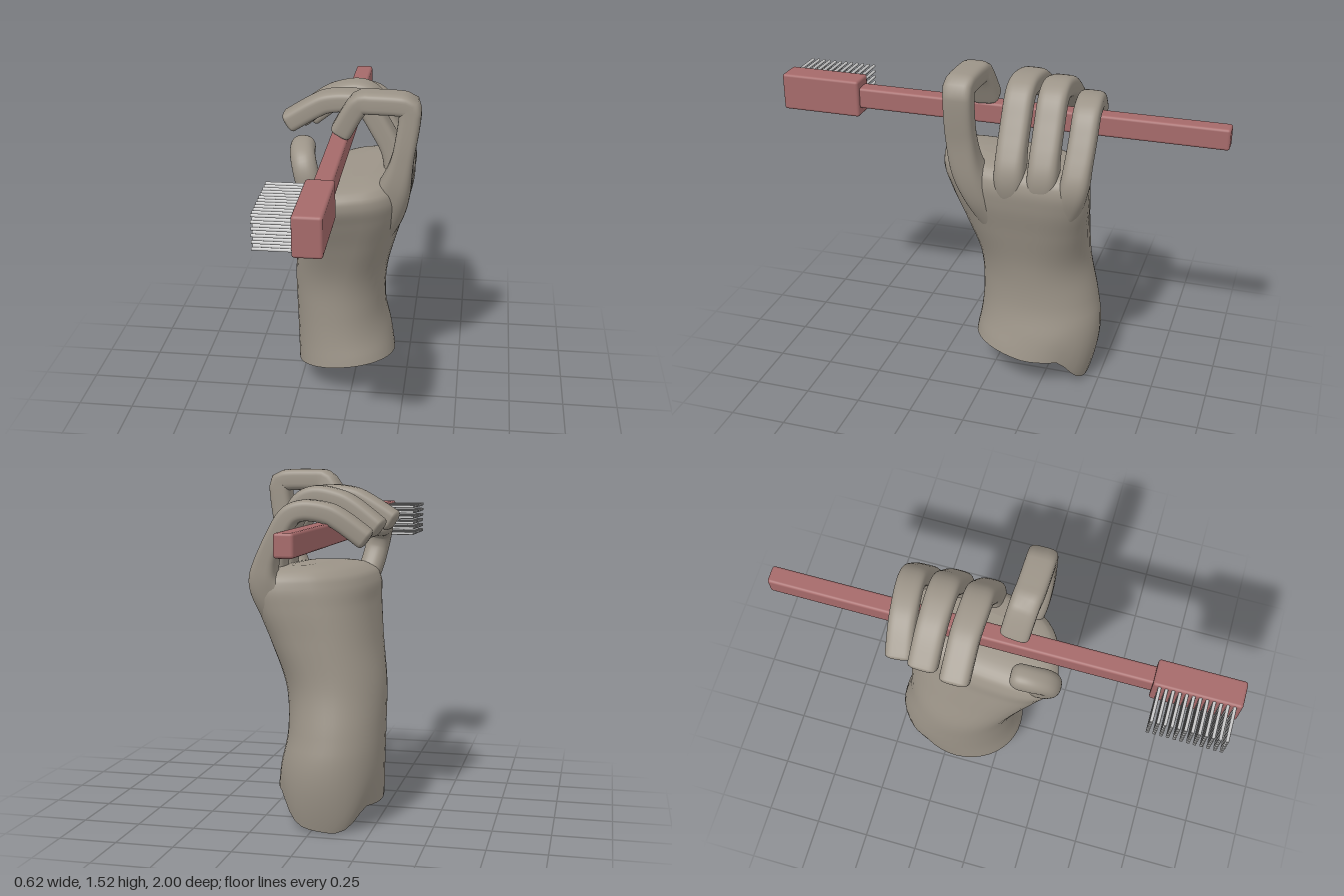
import * as THREE from 'three';
import { RoundedBoxGeometry } from 'three/addons/geometries/RoundedBoxGeometry.js';

const skin = new THREE.MeshStandardMaterial({ color: 0x9c9488 });
const plastic = new THREE.MeshStandardMaterial({ color: 0xa56a6a });
const grey = new THREE.MeshStandardMaterial({ color: 0xcccccc });
const SIDES = 40;

// Unit superellipse: n = 2 is round, higher is squarer
function superPoint(j, n) {
  const a = (j / SIDES) * Math.PI * 2;
  const p = (v) => Math.sign(v) * Math.pow(Math.abs(v), 2 / n);
  return [p(Math.cos(a)), p(Math.sin(a))];
}

// Skin over a list of closed rings, with a flat cap at the start and a smooth one at the end
function loft(rings) {
  const pos = [], idx = [];
  const add = (v) => pos.push(v.x, v.y, v.z) / 3 - 1;
  const ids = rings.map((ring) => ring.map(add));
  const quad = (a, b, c, d) => idx.push(a, b, c, a, c, d);
  for (let i = 0; i < rings.length - 1; i++) {
    for (let j = 0; j < SIDES; j++) {
      const k = (j + 1) % SIDES;
      quad(ids[i][j], ids[i][k], ids[i + 1][k], ids[i + 1][j]);
    }
  }
  const rim = rings[0].map(add);
  const end = ids[rings.length - 1];
  for (let j = 0; j < SIDES / 2; j++) {
    const across = (SIDES - j) % SIDES, next = SIDES - j - 1;
    quad(rim[j], rim[across], rim[next], rim[j + 1]);
    quad(end[j], end[j + 1], end[next], end[across]);
  }
  const g = new THREE.BufferGeometry();
  g.setAttribute('position', new THREE.Float32BufferAttribute(pos, 3));
  g.setIndex(idx);
  g.computeVertexNormals();
  return g;
}

// Wrist and palm: [y, centre x, centre z, half x, half z, skew of x by z, skew of z by x]
const SECTIONS = [
  [0.122, -0.035, -0.175, 0.23, 0.265, 0, 0],
  [0.26, -0.05, -0.205, 0.222, 0.28, 0, 0],
  [0.4, -0.065, -0.2, 0.21, 0.267, 0, 0],
  [0.6, -0.058, -0.175, 0.212, 0.255, -0.02, -0.03],
  [0.8, -0.012, -0.143, 0.218, 0.288, -0.05, -0.14],
  [0.95, 0.024, -0.117, 0.225, 0.322, -0.07, -0.24],
  [1.04, 0.036, -0.1, 0.22, 0.335, -0.09, -0.28],
  [1.085, 0.043, -0.1, 0.19, 0.315, -0.1, -0.28],
  [1.11, 0.055, -0.11, 0.13, 0.26, -0.1, -0.28],
  [1.12, 0.065, -0.13, 0.05, 0.17, -0.1, -0.28],
];

function palmGeometry() {
  const curve = new THREE.CubicInterpolant(
    SECTIONS.map((s) => s[0]), SECTIONS.flatMap((s) => s.slice(1)), 6);
  const rings = [];
  const steps = 48, y0 = 0.122, y1 = 1.12;
  for (let i = 0; i <= steps; i++) {
    const y = y0 + (y1 - y0) * Math.sin((i / steps) * Math.PI * 0.5);
    const [cx, cz, hx, hz, sx, sz] = curve.evaluate(y);
    const n = 2.1 + 0.9 * THREE.MathUtils.smoothstep(y, 0.5, 1);
    const ring = [];
    for (let j = 0; j < SIDES; j++) {
      const [c, s] = superPoint(j, n);
      const x = cx + s * hx + sx * c * hz;
      const z = cz + c * hz + sz * s * hx;
      // Slanting cut through the wrist with a lip hanging at the back
      const fade = 1 - THREE.MathUtils.smoothstep(y, y0, 0.34);
      const cut = 0.12 * (x + 0.035) + 0.2 * Math.max(z + 0.19, 0)
        - 0.118 * THREE.MathUtils.smoothstep(-z, 0.33, 0.44);
      ring.push(new THREE.Vector3(x, y + cut * fade, z));
    }
    rings.push(ring);
  }
  return loft(rings);
}

// Digit along a path; base is the half thickness at the root, thick and wide those beyond it
function digitGeometry(points, { wide, thick, base, ref, square, tip }) {
  const curve = new THREE.CatmullRomCurve3(
    points.map((p) => new THREE.Vector3(...p)), false, 'centripetal');
  curve.arcLengthDivisions = 400;
  const round = tip / curve.getLength();
  const stations = [];
  for (let i = 0; i <= 56; i++) stations.push([(i / 56) * (1 - round), 1]);
  for (let i = 1; i <= 6; i++) {
    const a = (i / 6) * Math.PI * 0.5;
    stations.push([1 - round + round * Math.sin(a), 0.35 + 0.65 * Math.cos(a)]);
  }
  return loft(stations.map(([u, k]) => {
    const p = curve.getPointAt(u);
    const t = curve.getTangentAt(u);
    const a = ref.clone().addScaledVector(t, -ref.dot(t)).normalize();
    const b = new THREE.Vector3().crossVectors(t, a);
    const taper = THREE.MathUtils.smoothstep(u, 0.1, 0.44);
    const h = THREE.MathUtils.lerp(base, thick, taper);
    const w = THREE.MathUtils.lerp(wide * 1.15, wide, taper);
    const n = THREE.MathUtils.lerp(2.3, square, taper);
    return Array.from({ length: SIDES }, (_, j) => {
      const [c, s] = superPoint(j, n);
      return p.clone().addScaledVector(a, c * w * k).addScaledVector(b, s * h * k);
    });
  }));
}

const FINGERS = {
  indexFinger: [
    [0.1, 0.85, -0.03], [0.16, 0.98, 0.025], [0.203, 1.1, 0.064], [0.236, 1.25, 0.08],
    [0.26, 1.43, 0.08], [0.256, 1.46, 0.08], [0.232, 1.467, 0.08], [0.1, 1.47, 0.075],
    [0.055, 1.467, 0.07], [0.03, 1.44, 0.065], [-0.04, 1.318, 0.05]],
  middleFinger: [
    [0.08, 0.84, -0.12], [0.15, 0.97, -0.123], [0.198, 1.08, -0.125], [0.18, 1.17, -0.125],
    [0.12, 1.29, -0.125], [0.055, 1.388, -0.125], [0.0, 1.408, -0.125], [-0.12, 1.398, -0.13],
    [-0.17, 1.375, -0.13], [-0.3, 1.295, -0.13]],
  ringFinger: [
    [0.08, 0.84, -0.22], [0.15, 0.97, -0.25], [0.2, 1.08, -0.268], [0.185, 1.17, -0.27],
    [0.125, 1.29, -0.27], [0.065, 1.385, -0.27], [0.01, 1.408, -0.27], [-0.09, 1.39, -0.272],
    [-0.14, 1.365, -0.273], [-0.265, 1.27, -0.275]],
  littleFinger: [
    [0.08, 0.84, -0.32], [0.15, 0.96, -0.37], [0.2, 1.06, -0.403], [0.19, 1.14, -0.412],
    [0.14, 1.25, -0.418], [0.085, 1.335, -0.418], [0.03, 1.357, -0.415], [-0.07, 1.345, -0.405],
    [-0.12, 1.32, -0.4], [-0.235, 1.235, -0.385]],
};

function createHand() {
  const hand = new THREE.Group();
  hand.name = 'hand';
  const add = (name, geometry) => {
    const mesh = new THREE.Mesh(geometry, skin);
    mesh.name = name;
    hand.add(mesh);
  };
  add('wristAndPalm', palmGeometry());
  for (const [name, path] of Object.entries(FINGERS)) {
    const little = name === 'littleFinger';
    add(name, digitGeometry(path, {
      wide: little ? 0.057 : 0.062, thick: little ? 0.044 : 0.047, base: 0.092,
      ref: new THREE.Vector3(0, 0, 1), square: 3.8, tip: 0.02,
    }));
  }
  // Thumb rises beside the palm, then bends back along the handle
  add('thumb', digitGeometry([
    [-0.05, 0.86, 0.04], [-0.1, 0.98, 0.13], [-0.135, 1.08, 0.196], [-0.155, 1.17, 0.23],
    [-0.172, 1.235, 0.215], [-0.186, 1.266, 0.16], [-0.19, 1.272, 0.075]], {
    wide: 0.053, thick: 0.052, base: 0.085, ref: new THREE.Vector3(1, 0, 0), square: 2.4, tip: 0.045,
  }));
  return hand;
}

function createBrush() {
  const brush = new THREE.Group();
  brush.name = 'brush';
  const bar = (name, w, h, d, x, y, z) => {
    const mesh = new THREE.Mesh(new RoundedBoxGeometry(w, h, d, 2, 0.012), plastic);
    mesh.name = name;
    mesh.position.set(x, y, z);
    brush.add(mesh);
  };
  bar('handle', 0.078, 0.094, 1.66, -0.044, 1.258, -0.17);
  bar('brushHead', 0.116, 0.166, 0.365, -0.043, 1.258, 0.8175);

  // Rows of bristles out of the side of the head
  const bristles = new THREE.Group();
  bristles.name = 'bristles';
  const geometry = new THREE.CylinderGeometry(0.007, 0.007, 0.16, 8).rotateZ(Math.PI / 2);
  for (let row = 0; row < 6; row++) {
    for (let col = 0; col < 12; col++) {
      const bristle = new THREE.Mesh(geometry, grey);
      bristle.name = 'bristle';
      bristle.position.set(-0.17, 1.193 + row * 0.0264, 0.665 + col * 0.0277);
      bristles.add(bristle);
    }
  }
  brush.add(bristles);
  return brush;
}

export function createModel() {
  const model = new THREE.Group();
  model.name = 'handHoldingBrush';
  model.add(createHand(), createBrush());
  return model;
}
